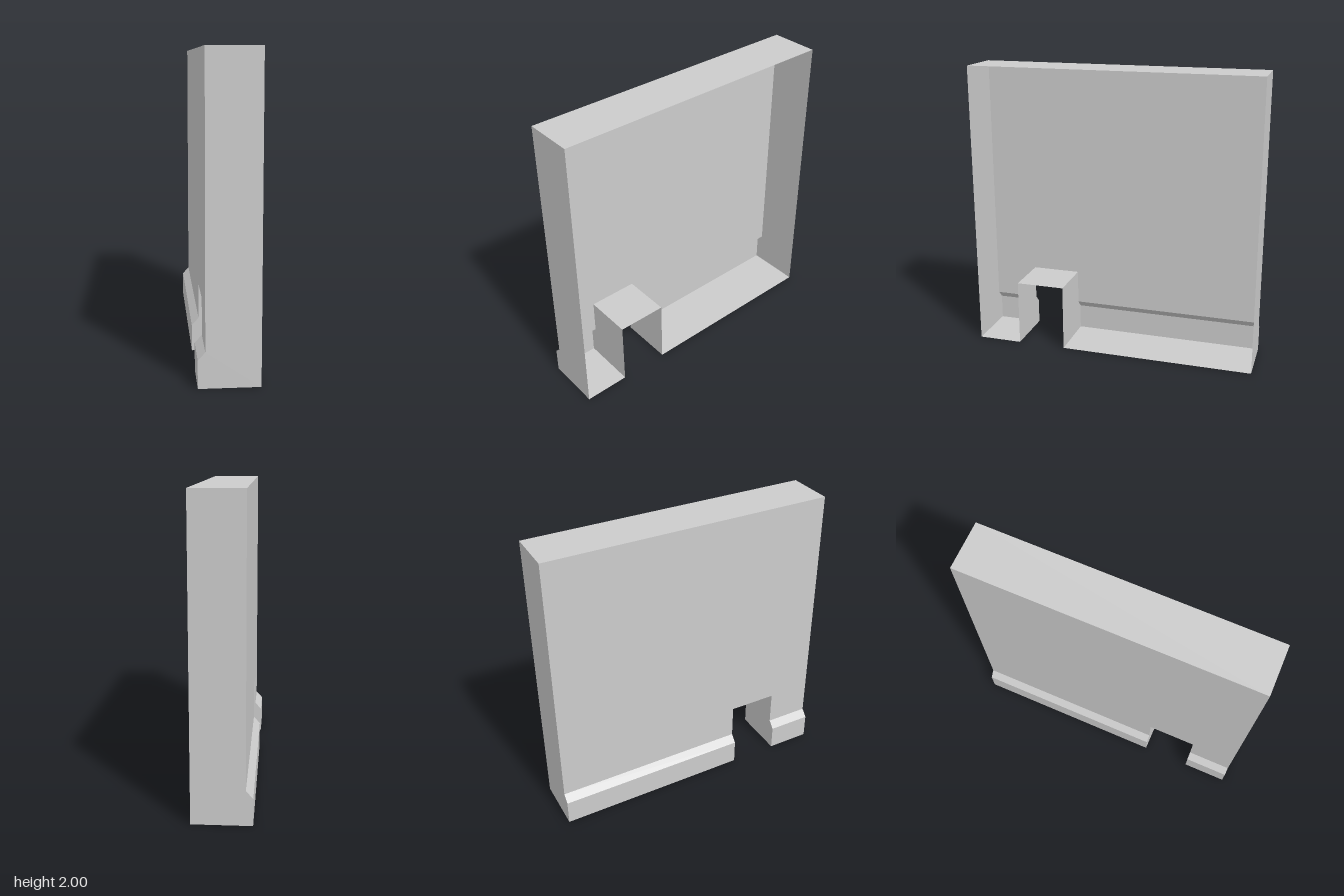
import * as THREE from 'three';

// Thin wall shell, open on its +x side
const OPEN = 0.19, WALL = -0.145, PLINTH = -0.19;
const LEDGE_LOW = 0.175, LEDGE_TOP = 0.225, TOP = 2;
const DOOR_NEAR = 0.69, DOOR_FAR = 0.35, DOOR_TOP = 0.463;

const material = new THREE.MeshStandardMaterial({
  color: 0xcccccc, flatShading: true, side: THREE.DoubleSide,
});

function outline(points) {
  return new THREE.Shape(points.map(([a, b]) => new THREE.Vector2(a, b)));
}

// Sweeps an open xy path along z from z0 to z1
function ribbon(path, z0, z1) {
  const corners = [];
  for (let i = 0; i < path.length - 1; i++) {
    const p = path[i], q = path[i + 1];
    corners.push(...p, z0, ...q, z0, ...q, z1, ...p, z0, ...q, z1, ...p, z1);
  }
  const geometry = new THREE.BufferGeometry();
  geometry.setAttribute('position', new THREE.Float32BufferAttribute(corners, 3));
  geometry.computeVertexNormals();
  return geometry;
}

// Cross-section of the wall up to a given height, facing +z or -z
function section(height, z, facing) {
  const geometry = new THREE.ShapeGeometry(outline([
    [OPEN, 0], [OPEN, height], [WALL, height],
    [WALL, LEDGE_TOP], [PLINTH, LEDGE_LOW], [PLINTH, 0],
  ]));
  if (facing < 0) {
    geometry.index.array.reverse();
    geometry.computeVertexNormals();
  }
  return geometry.translate(0, 0, z);
}

export function createModel() {
  const model = new THREE.Group();
  model.name = 'wallPanel';
  const add = (name, geometry) => {
    const mesh = new THREE.Mesh(geometry, material);
    mesh.name = name;
    model.add(mesh);
  };

  // Main wall face, notched for the doorway
  const face = new THREE.ShapeGeometry(outline([
    [-1, LEDGE_TOP], [DOOR_FAR, LEDGE_TOP], [DOOR_FAR, DOOR_TOP], [DOOR_NEAR, DOOR_TOP],
    [DOOR_NEAR, LEDGE_TOP], [1, LEDGE_TOP], [1, TOP], [-1, TOP],
  ]));
  add('wallFace', face.rotateY(-Math.PI / 2).translate(WALL, 0, 0));

  // Sloped ledge, plinth and underside on either side of the doorway
  const plinth = [[WALL, LEDGE_TOP], [PLINTH, LEDGE_LOW], [PLINTH, 0], [OPEN, 0]];
  add('backPlinth', ribbon(plinth, -1, DOOR_FAR));
  add('frontPlinth', ribbon(plinth, DOOR_NEAR, 1));

  // Top and end walls
  add('topCap', ribbon([[OPEN, TOP], [WALL, TOP]], -1, 1));
  add('frontEnd', section(TOP, 1, 1));
  add('backEnd', section(TOP, -1, -1));

  // Doorway lining
  add('doorLintel', ribbon([[WALL, DOOR_TOP], [OPEN, DOOR_TOP]], DOOR_FAR, DOOR_NEAR));
  add('backDoorJamb', section(DOOR_TOP, DOOR_FAR, 1));
  add('frontDoorJamb', section(DOOR_TOP, DOOR_NEAR, -1));

  return model;
}
